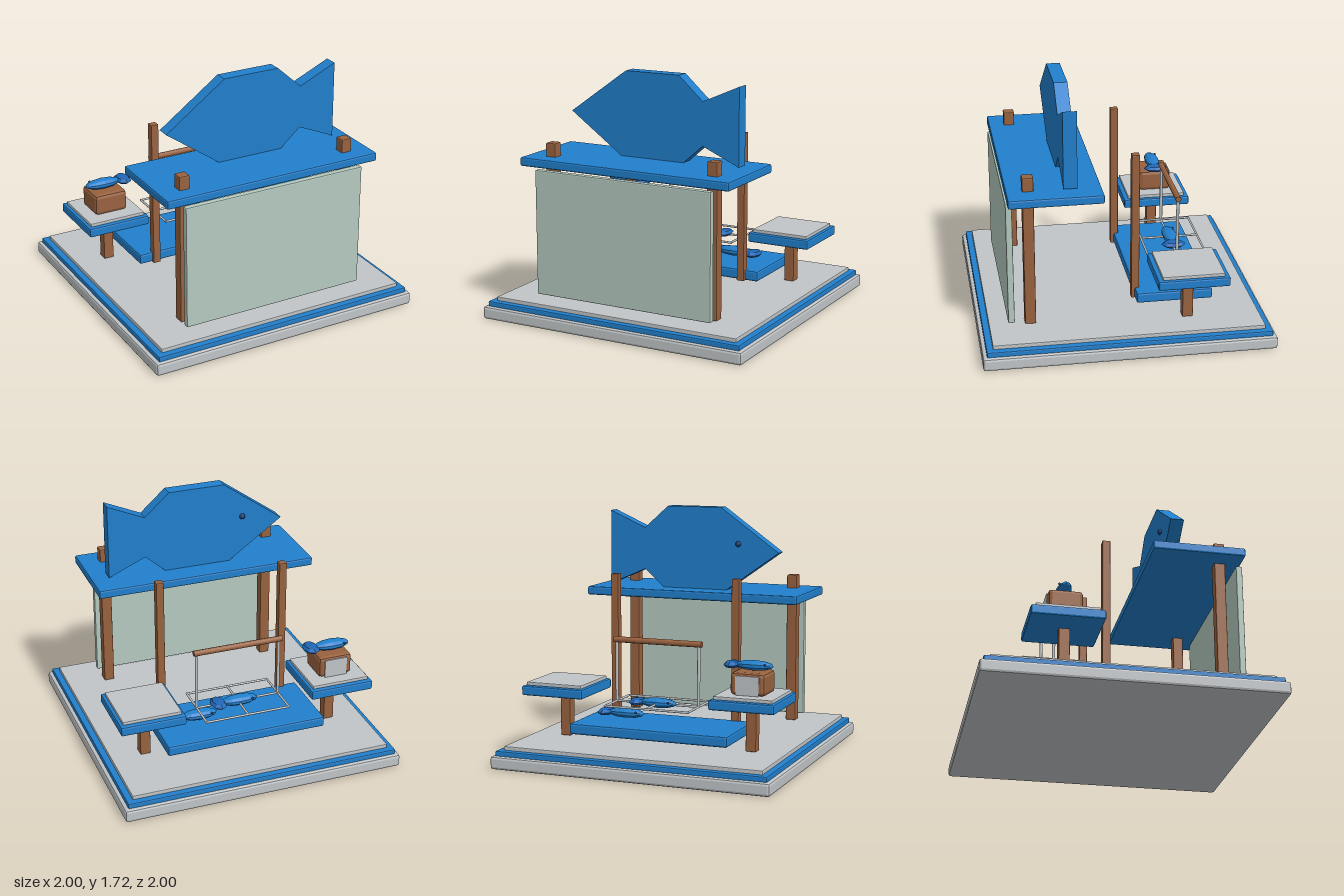
import * as THREE from 'three';
import { RoundedBoxGeometry } from 'three/addons/geometries/RoundedBoxGeometry.js';

const colours = {
  blue: 0x217fcc, grey: 0xc1c5c7, brown: 0x99623f,
  paleGreen: 0xb4c9bf, deepBlue: 0x1f66b5, navy: 0x1b3f78,
};
const mats = {};
for (const [name, color] of Object.entries(colours)) {
  mats[name] = new THREE.MeshStandardMaterial({ color });
  mats[name].name = name;
}

function add(parent, name, geometry, mat, x = 0, y = 0, z = 0) {
  const mesh = new THREE.Mesh(geometry, mats[mat]);
  mesh.name = name;
  mesh.position.set(x, y, z);
  parent.add(mesh);
  return mesh;
}

// Faceted copy of a geometry
function flat(geometry) {
  const g = geometry.index ? geometry.toNonIndexed() : geometry;
  g.computeVertexNormals();
  return g;
}

// Block with softened edges, given by its limits on each axis
function block(parent, name, mat, [x0, x1], [y0, y1], [z0, z1], r = 0.012) {
  const g = flat(new RoundedBoxGeometry(x1 - x0, y1 - y0, z1 - z0, 1, r));
  return add(parent, name, g, mat, (x0 + x1) / 2, (y0 + y1) / 2, (z0 + z1) / 2);
}

// Round bar between two points
function bar(parent, name, mat, a, b, r) {
  const p = new THREE.Vector3(...a), q = new THREE.Vector3(...b);
  const mesh = add(parent, name, new THREE.CylinderGeometry(r, r, p.distanceTo(q), 8), mat);
  mesh.position.copy(p).add(q).multiplyScalar(0.5);
  mesh.quaternion.setFromUnitVectors(new THREE.Vector3(0, 1, 0), q.sub(p).normalize());
}

// Small faceted fish facing -x
function fish(parent, name, x, y, z) {
  const g = new THREE.Group();
  g.name = name;
  g.position.set(x, y, z);
  const body = new THREE.SphereGeometry(1, 10, 6).rotateZ(Math.PI / 2).scale(0.133, 0.036, 0.053);
  add(g, 'fishBody', flat(body), 'blue');
  const tail = new THREE.SphereGeometry(1, 8, 4).scale(0.058, 0.026, 0.088);
  add(g, 'fishTail', flat(tail), 'deepBlue', 0.155);
  add(g, 'fishEye', new THREE.SphereGeometry(0.009, 8, 6), 'navy', -0.085, 0.012, -0.04);
  parent.add(g);
}

export function createModel() {
  const model = new THREE.Group();
  model.name = 'fishStall';

  // Stepped base
  block(model, 'baseSlab', 'grey', [-1, 1], [0, 0.09], [-1, 1], 0.018);
  block(model, 'baseTrim', 'blue', [-0.972, 0.972], [0.085, 0.125], [-0.972, 0.972], 0.008);
  block(model, 'floor', 'grey', [-0.928, 0.928], [0.12, 0.152], [-0.928, 0.928], 0.006);

  // Front wall panel and roof
  block(model, 'wallPanel', 'paleGreen', [-0.675, 0.675], [0.175, 1.055], [0.755, 0.8], 0.008);
  block(model, 'roof', 'blue', [-0.803, 0.8], [1.068, 1.13], [0.155, 0.792]);

  // Posts, side tables and their legs
  for (const s of [-1, 1]) {
    const span = (c, w) => [s * c - w / 2, s * c + w / 2];
    block(model, 'frontPost', 'brown', span(0.623, 0.076), [0.152, 1.225], [0.608, 0.684], 0.008);
    block(model, 'backPost', 'brown', span(0.453, 0.056), [0.2, 1.267], [-0.133, -0.077], 0.006);
    block(model, 'tableLeg', 'brown', span(0.687, 0.074), [0.152, 0.47], [-0.465, -0.391], 0.006);
    block(model, 'tableSlab', 'blue', span(0.688, 0.46), [0.46, 0.527], [-0.677, -0.187]);
    block(model, 'tableTop', 'grey', span(0.688, 0.415), [0.525, 0.55], [-0.643, -0.218], 0.006);
  }

  // Low display bench
  block(model, 'bench', 'blue', [-0.578, 0.578], [0.203, 0.278], [-0.633, -0.1], 0.014);

  // Roof sign in the shape of a fish
  const outline = [
    [-0.615, 1.41], [-0.18, 1.1], [0.23, 1.1], [0.41, 1.258], [0.68, 1.14],
    [0.68, 1.68], [0.41, 1.56], [0.23, 1.722], [-0.18, 1.722],
  ].map(([x, y]) => new THREE.Vector2(x, y));
  add(model, 'fishSign', new THREE.ExtrudeGeometry(new THREE.Shape(outline),
    { depth: 0.094, bevelEnabled: false }), 'blue', 0, 0, 0.32);
  add(model, 'signEye', new THREE.SphereGeometry(0.021, 10, 8).scale(1, 1, 0.75),
    'navy', -0.315, 1.465, 0.309);

  // Hanging rack: rail, uprights and wire tray
  const rack = new THREE.Group();
  rack.name = 'rack';
  model.add(rack);
  bar(rack, 'rackRail', 'brown', [-0.325, 0.853, -0.434], [0.322, 0.853, -0.434], 0.021);
  for (const x of [-0.302, 0.302]) {
    bar(rack, 'rackUpright', 'grey', [x, 0.42, -0.434], [x, 0.85, -0.434], 0.011);
  }
  for (const x of [-0.302, 0, 0.302]) {
    bar(rack, 'trayCrossWire', 'grey', [x, 0.424, -0.645], [x, 0.424, -0.225], 0.008);
  }
  for (const z of [-0.64, -0.434, -0.23]) {
    bar(rack, 'trayLongWire', 'grey', [-0.307, 0.424, z], [0.307, 0.424, z], 0.008);
  }

  // Crate with a back plate
  block(model, 'crate', 'brown', [-0.81, -0.565], [0.548, 0.7], [-0.55, -0.318], 0.025);
  block(model, 'cratePlate', 'grey', [-0.77, -0.605], [0.55, 0.682], [-0.558, -0.549], 0.002);

  // Fish on the crate, the tray and the bench
  fish(model, 'crateFish', -0.7, 0.737, -0.435);
  fish(model, 'trayFish', -0.01, 0.432, -0.44);
  fish(model, 'benchFish', 0.262, 0.327, -0.365);

  return model;
}
